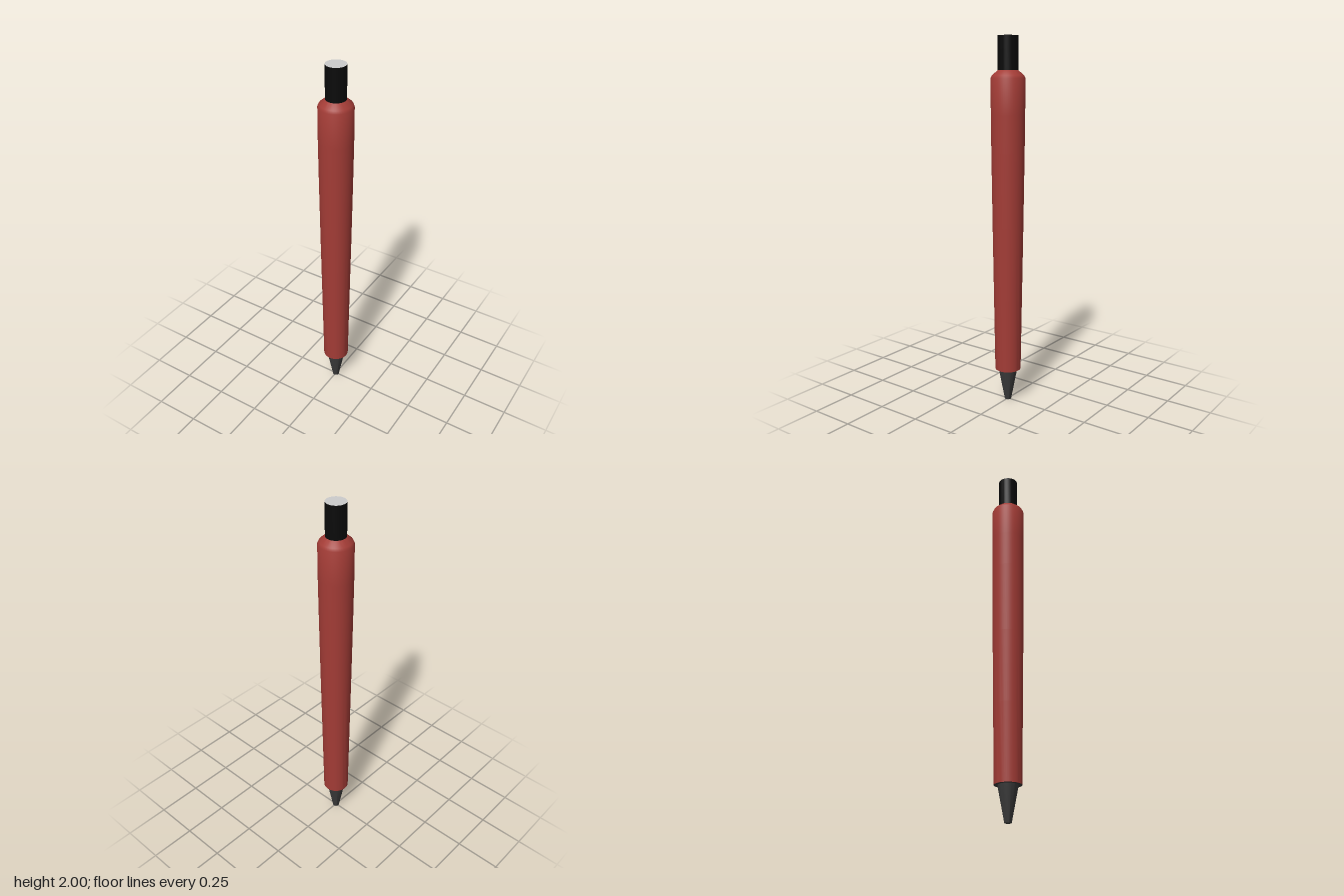
import * as THREE from 'three';
import { toCreasedNormals } from 'three/addons/utils/BufferGeometryUtils.js';

const SIDES = 48;

export function createModel() {
  const pen = new THREE.Group();
  pen.name = 'pen';

  // Turns a [radius, height] profile, listed from bottom to top, around the y axis
  const turn = (name, color, profile) => {
    const points = profile.map(([r, y]) => new THREE.Vector2(r, y));
    const geometry = toCreasedNormals(new THREE.LatheGeometry(points, SIDES), 0.9);
    const material = new THREE.MeshStandardMaterial({ color, side: THREE.DoubleSide });
    const mesh = new THREE.Mesh(geometry, material);
    mesh.name = name;
    pen.add(mesh);
  };

  // Writing cone with a blunt point and the collar that closes the barrel
  turn('tip', 0x3c3c3c, [[0, 0], [0.018, 0], [0.053, 0.185], [0.071, 0.185]]);

  // Gently tapered barrel with a bevelled shoulder
  turn('barrel', 0xa33c36, [
    [0.071, 0.185], [0.077, 0.6], [0.083, 1.0], [0.088, 1.4], [0.09, 1.6],
    [0.09, 1.785], [0.083, 1.8], [0.053, 1.825],
  ]);

  // Push button and its pale end cap
  turn('button', 0x0a0a0a, [[0.053, 1.82], [0.053, 2]]);
  turn('buttonCap', 0xcccccc, [[0.053, 2], [0, 2]]);

  return pen;
}
